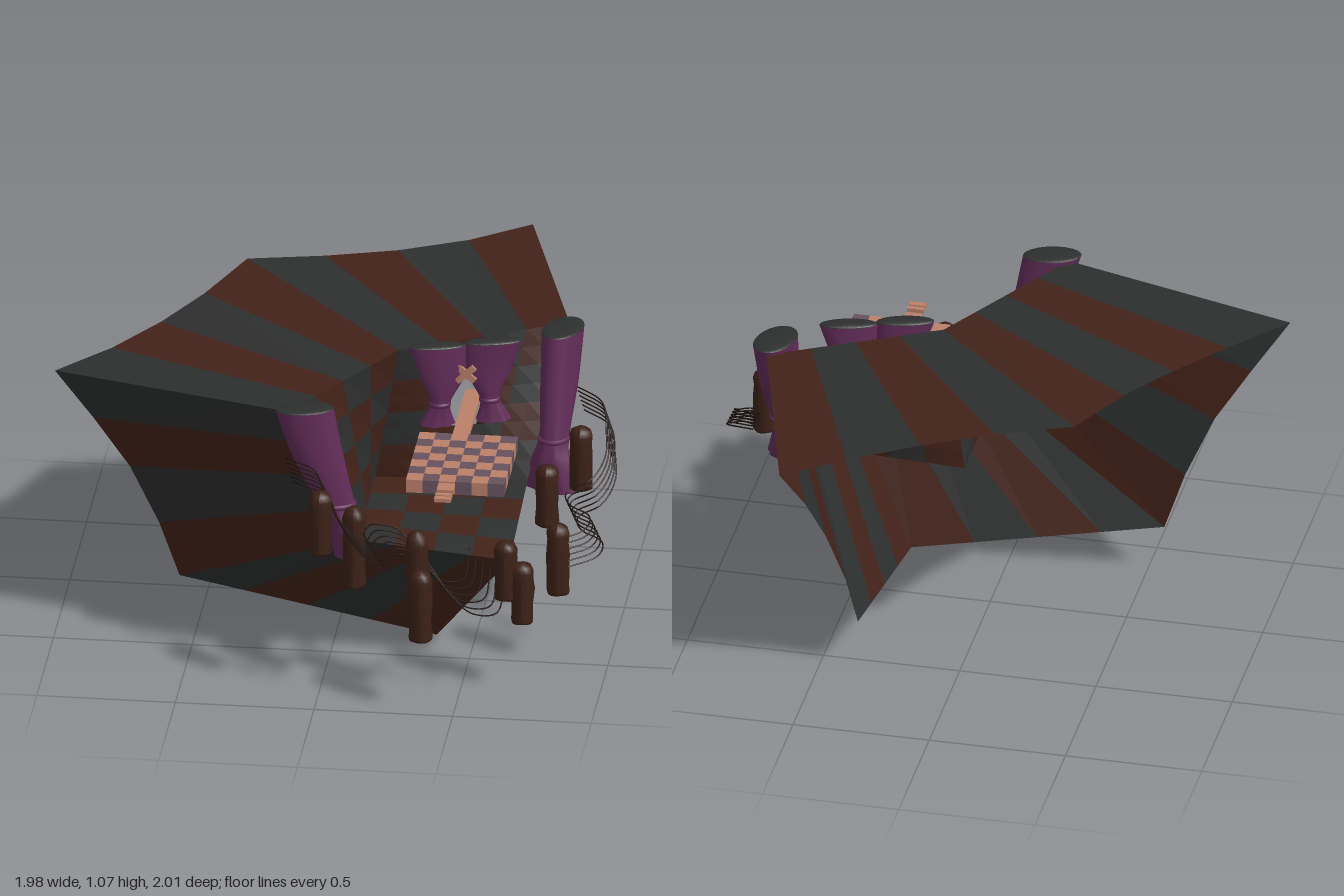
import * as THREE from 'three';

const V = (x, y, z) => new THREE.Vector3(x, y, z);
const mat = (color, flatShading = false) =>
  new THREE.MeshStandardMaterial({ color, flatShading, side: THREE.DoubleSide });
const DARK = mat(0x2d2e2e, true), BROWN = mat(0x422219, true);
const TAN = mat(0xba806a), MAUVE = mat(0x67525e);
const PURPLE = mat(0x622c58), WOOD = mat(0x3c2117), STRAND = mat(0x20130f);

function add(parent, name, geometry, material, p = [0, 0, 0]) {
  const m = new THREE.Mesh(geometry, material);
  m.name = name;
  m.position.set(...p);
  parent.add(m);
  return m;
}

// Patch between two rails, split into alternately coloured squares of size x size cells
function patch(parent, name, railA, railB, rows, { skip = () => false, flip = 0, size = 1 } = {}) {
  const cells = [[], []], n = railA.length - 1;
  const at = (i, j) => railA[i].clone().lerp(railB[i], j / rows);
  for (let i = 0; i < n; i++) for (let j = 0; j < rows; j++) {
    if (skip(i, j)) continue;
    const [a, b, c, d] = [at(i, j), at(i, j + 1), at(i + 1, j + 1), at(i + 1, j)];
    cells[(Math.floor(i / size) + Math.floor(j / size) + flip) % 2].push(a, b, c, a, c, d);
  }
  cells.forEach((pts, k) => {
    if (!pts.length) return;
    const g = new THREE.BufferGeometry().setFromPoints(pts);
    g.computeVertexNormals();
    add(parent, name + (k ? 'Brown' : 'Dark'), g, k ? BROWN : DARK);
  });
}
const line = (a, b, n = 4) => Array.from({ length: n + 1 }, (_, i) => a.clone().lerp(b, i / n));
const rail = pts => pts.map(p => V(...p));

function buildRoom() {
  const g = new THREE.Group();
  g.name = 'room';
  // Inner corners
  const cornerTop = V(0.2, 1.03, 0.13), cornerLow = V(0.11, 0.5, 0.07);
  const sideTop = V(-0.13, 1.03, 0.7), sideLow = V(0.11, 0.5, 0.62);
  const backTop = V(0.78, 1.03, -0.18), backLow = V(0.66, 0.52, 0.07);
  const frontLow = V(0.66, 0.45, 0.62);
  patch(g, 'sideWall', line(sideTop, cornerTop), line(sideLow, cornerLow), 4);
  // The back wall has a window opening
  patch(g, 'backWall', line(cornerTop, backTop, 8), line(cornerLow, backLow, 8), 8,
    { size: 2, skip: (i, j) => (i === 3 || i === 4) && j >= 2 && j <= 4 });
  patch(g, 'floor', line(sideLow, frontLow), line(cornerLow, backLow), 4);

  // Striped skirts flaring from each open edge of the room
  const outerSide = V(-0.565, 0.193, 0.33), outerFront = V(0.36, 0, 0.31), outerBack = V(0.36, 0.193, -0.56);
  const skirts = [
    ['sideTopSkirt', sideTop, cornerTop, rail([[-1, 1.03, 0.45], [-0.82, 1.03, 0.23], [-0.67, 1.04, 0.01], [-0.54, 1.055, -0.22], [-0.42, 1.07, -0.5]])],
    ['backTopSkirt', cornerTop, backTop, rail([[-0.42, 1.07, -0.5], [-0.15, 1.055, -0.59], [0.1, 1.04, -0.7], [0.34, 1.03, -0.84], [0.55, 1.03, -1]])],
    ['sideSkirt', sideTop, sideLow, rail([[-1, 1.03, 0.45], [-0.866, 0.834, 0.41], [-0.738, 0.636, 0.38], [-0.636, 0.406, 0.35], [-0.565, 0.193, 0.33]])],
    ['backSkirt', backTop, backLow, rail([[0.55, 1.03, -1], [0.49, 0.834, -0.85], [0.44, 0.636, -0.73], [0.39, 0.406, -0.63], [0.36, 0.193, -0.56]]), 1],
    ['frontLowSkirt', sideLow, frontLow, line(outerSide, outerFront)],
    ['rightLowSkirt', frontLow, backLow, line(outerFront, outerBack), 1],
  ];
  for (const [name, a, b, outer, flip = 0] of skirts)
    patch(g, name, line(a, b), outer, 1, { flip });
  return g;
}

// Curtain lofted through oval sections: [x, y, z, radiusX, radiusZ]
function curtain(name, sections, turn = 0) {
  const g = new THREE.Group(), seg = 28, rows = 20;
  g.name = name;
  const centre = new THREE.CatmullRomCurve3(sections.map(s => V(s[0], s[1], s[2])));
  const radius = new THREE.CatmullRomCurve3(sections.map(s => V(s[3], s[4], 0)));
  const geo = new THREE.CylinderGeometry(1, 1, 1, seg, rows, true), p = geo.attributes.position;
  for (let r = 0; r <= rows; r++) {
    const c = centre.getPoint(r / rows), q = radius.getPoint(r / rows);
    for (let k = 0; k <= seg; k++) {
      const a = k / seg * Math.PI * 2, f = 1 + 0.07 * (r / rows) * Math.cos(a * 7);
      const v = V(Math.cos(a) * q.x * f, 0, -Math.sin(a) * q.y * f).applyAxisAngle(V(0, 1, 0), turn).add(c);
      p.setXYZ(r * (seg + 1) + k, v.x, v.y, v.z);
    }
  }
  geo.computeVertexNormals();
  add(g, 'cloth', geo, PURPLE);
  // Dark cap and tie band
  const s = sections[0], cap = add(g, 'cap', new THREE.SphereGeometry(1, 24, 8, 0, Math.PI * 2, 0, Math.PI / 2), DARK, s.slice(0, 3));
  cap.scale.set(s[3], 0.012, s[4]);
  cap.rotation.y = turn;
  const t = sections[2], band = add(g, 'tie', new THREE.TorusGeometry(1, 0.16, 6, 20).rotateX(Math.PI / 2), PURPLE, t.slice(0, 3));
  band.scale.set(t[3], 0.06, t[4]);
  band.rotation.y = turn;
  return g;
}

function buildTable() {
  const g = new THREE.Group();
  g.name = 'table';
  const w = 0.059, x0 = 0.287, z0 = 0.215;
  const tile = new THREE.BoxGeometry(w, 0.05, w);
  for (let i = 0; i < 6; i++) for (let j = 0; j < 7; j++)
    add(g, 'tile', tile, (i + j) % 2 ? MAUVE : TAN, [x0 + (i + 0.5) * w, 0.727, z0 + (j + 0.5) * w]);
  // Slats in front, and a walkway through the window behind
  for (const [z, d] of [[0.02, 0.4], [0.66, 0.06], [0.725, 0.02], [0.755, 0.025]])
    add(g, 'slat', new THREE.BoxGeometry(0.06, 0.014, d), TAN, [0.435, 0.74, z]);
  return g;
}

// Rounded, slightly gnarled post
function post(x, z, low, high, i) {
  const h = high - low, r = 0.042;
  const profile = [[0, 0], [0.95, 0], [1, 0.04], [0.93, 0.3], [1.03, 0.55], [0.94, 0.75], [1, 0.86], [0.8, 0.95], [0.4, 0.99], [0, 1]];
  const geo = new THREE.LatheGeometry(profile.map(([a, b]) => new THREE.Vector2(a * r, b * h)), 14);
  const p = geo.attributes.position;
  for (let k = 0; k < p.count; k++) {
    const a = Math.atan2(p.getZ(k), p.getX(k)), f = 1 + 0.06 * Math.sin(a * 4 + p.getY(k) * 30 + i);
    p.setX(k, p.getX(k) * f);
    p.setZ(k, p.getZ(k) * f);
  }
  geo.computeVertexNormals();
  return [geo, [x, low, z]];
}

// Bundle of thin strands that fans out along its length
function strands(name, path, spread) {
  const g = new THREE.Group();
  g.name = name;
  for (let i = 0; i < 6; i++) {
    const o = i - 2.5;
    const pts = path.map(([x, y, z], k) => {
      const f = o * (0.006 + spread * k / path.length);
      return V(x - f, y + o * 0.016, z - f * 0.8);
    });
    add(g, 'strand', new THREE.TubeGeometry(new THREE.CatmullRomCurve3(pts), 80, 0.0027, 5), STRAND);
  }
  return g;
}

export function createModel() {
  const model = new THREE.Group();
  model.name = 'checkeredStage';
  model.add(buildRoom(), buildTable());

  // Outer curtains: the second swaps x and z across the room's diagonal
  const outer = [[-0.07, 1.045, 0.702, 0.105, 0.058], [-0.02, 0.85, 0.695, 0.09, 0.052], [0.045, 0.67, 0.685, 0.062, 0.042],
    [0.07, 0.59, 0.675, 0.052, 0.062], [0.075, 0.48, 0.675, 0.045, 0.085]];
  model.add(curtain('sideCurtain', outer, 0.25));
  model.add(curtain('backCurtain', outer.map(([x, y, z, a, b]) => [z + 0.065, y, x - 0.025, b + 0.01, a]), -0.35));

  // Window curtains, mirrored about the middle
  for (const s of [-1, 1]) {
    const x = d => 0.437 + s * d, z = 0.092 - s * 0.032;
    model.add(curtain('windowCurtain', [[x(0.097), 1.05, z, 0.104, 0.035], [x(0.08), 0.93, z, 0.08, 0.035],
      [x(0.085), 0.83, z + 0.01, 0.034, 0.028], [x(0.093), 0.79, z + 0.01, 0.046, 0.03], [x(0.097), 0.75, z + 0.01, 0.062, 0.035]], 0.25));
    // Crossed slats between them
    add(model, 'crossSlat', new THREE.BoxGeometry(0.085, 0.022, 0.014), TAN, [0.443, 0.95, 0.13 + s * 0.004]).rotation.z = s * 0.72;
  }

  // Posts: x, z, bottom, top
  [[0.01, 0.89, 0.57, 0.81], [0.12, 0.79, 0.4, 0.71], [0.35, 0.82, 0.29, 0.64], [0.38, 0.96, 0.28, 0.55],
    [0.66, 0.74, 0.36, 0.58], [0.72, 0.74, 0.27, 0.5], [0.82, 0.5, 0.28, 0.55], [0.86, 0.14, 0.53, 0.77], [0.74, 0.16, 0.39, 0.62],
  ].forEach(([x, z, a, b], i) => {
    const [geo, pos] = post(x, z, a, b, i);
    add(model, 'post', geo, WOOD, pos);
  });

  model.add(strands('frontStrands', [[-0.12, 0.82, 0.74], [-0.08, 0.84, 0.81], [0, 0.8, 0.8], [0.06, 0.72, 0.88], [0.14, 0.64, 0.94],
    [0.22, 0.59, 0.95], [0.2, 0.58, 0.85], [0.23, 0.56, 0.73], [0.32, 0.53, 0.71], [0.4, 0.45, 0.77], [0.49, 0.39, 0.82],
    [0.57, 0.38, 0.79], [0.58, 0.43, 0.63]], 0.024));
  model.add(strands('rightStrands', [[0.82, 0.74, -0.17], [0.92, 0.71, -0.11], [0.95, 0.65, 0], [0.96, 0.59, 0.1], [0.92, 0.54, 0.2],
    [0.84, 0.5, 0.22], [0.86, 0.49, 0.31], [0.94, 0.47, 0.36], [0.93, 0.45, 0.44], [0.83, 0.43, 0.5]], 0.006));
  return model;
}
